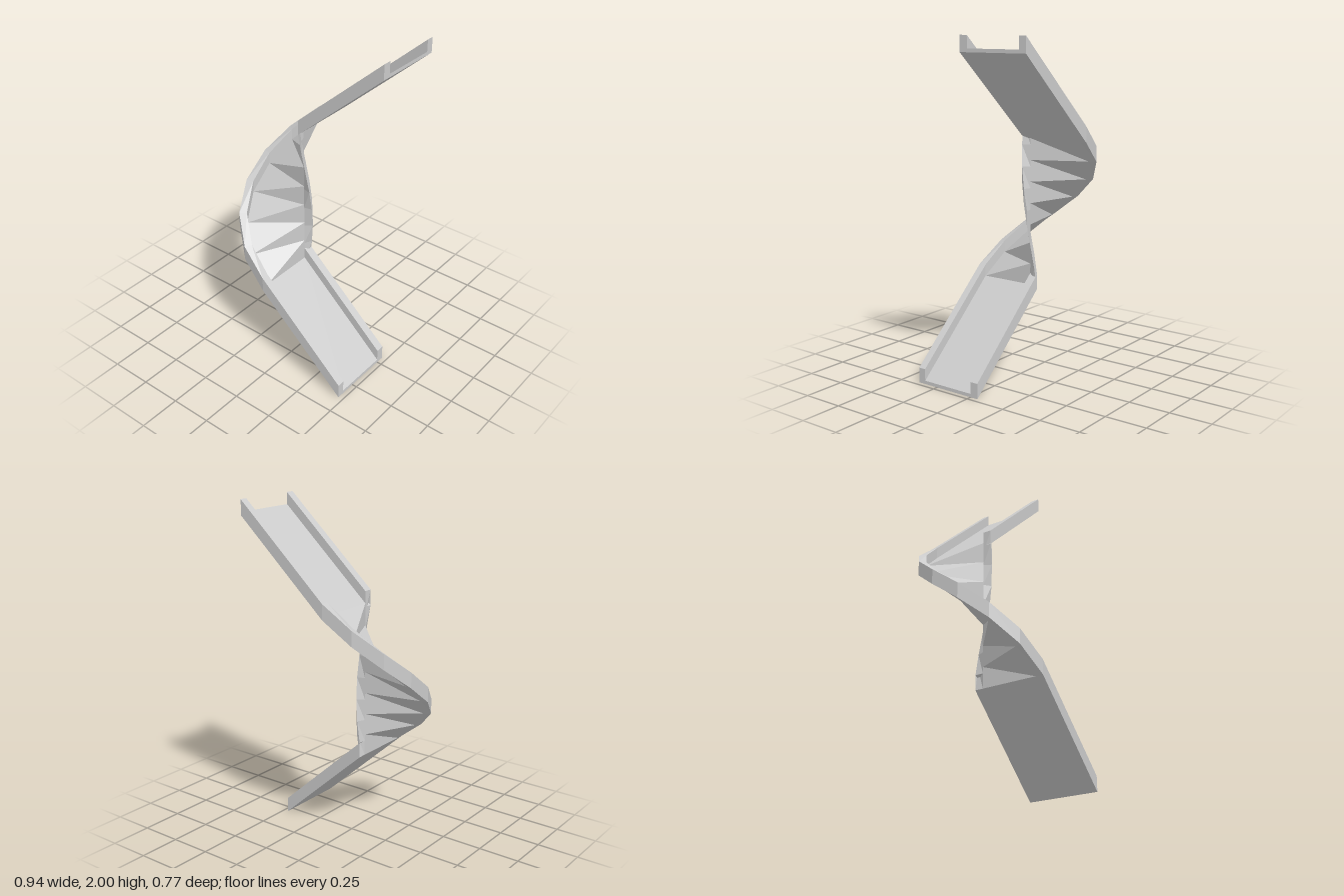
import * as THREE from 'three';

// U-shaped channel section: [distance from turn axis, height above underside]
const SECTION = [
  [-0.05, 0], [-0.05, 0.09], [0, 0.09], [0, 0.02], [0.34, 0.02],
  [0.34, 0.09], [0.385, 0.09], [0.385, 0], [0.34, 0], [0, 0],
];
const UNDERSIDE = 7; // section edges from here on lie underneath
const AXIS_X = -0.095, END_X = 0.47, STEPS = 7;
const TOP_Y = 1.91, TURN_TOP = 1.405, TURN_BOTTOM = 0.51;

// Place the section at a station: x of the axis line, base height, turn angle
const ring = ({ x, y, angle }) => SECTION.map(([r, h]) =>
  new THREE.Vector3(x - r * Math.sin(angle), y + h, -r * Math.cos(angle)));

// Join the sections in order, optionally closing one end
function sweep(name, stations, material, cap) {
  const rings = stations.map(ring);
  const points = [];
  for (let i = 0; i < rings.length - 1; i++) {
    for (let k = 0; k < SECTION.length; k++) {
      const n = (k + 1) % SECTION.length;
      const a = rings[i][k], b = rings[i][n], c = rings[i + 1][n], d = rings[i + 1][k];
      if (k >= UNDERSIDE) points.push(a, b, d, b, c, d);
      else points.push(a, b, c, a, c, d);
    }
  }
  if (cap) {
    const contour = SECTION.map(([r, h]) => new THREE.Vector2(r, h));
    const end = cap === 'start' ? rings[0] : rings[rings.length - 1];
    for (const [p, q, s] of THREE.ShapeUtils.triangulateShape(contour, [])) {
      points.push(end[p], end[q], end[s]);
    }
  }
  const geometry = new THREE.BufferGeometry().setFromPoints(points);
  geometry.computeVertexNormals();
  const mesh = new THREE.Mesh(geometry, material);
  mesh.name = name;
  return mesh;
}

export function createModel() {
  const model = new THREE.Group();
  model.name = 'turningSlide';
  const material = new THREE.MeshStandardMaterial({
    color: 0xcccccc, flatShading: true, side: THREE.DoubleSide,
  });

  // Helical half turn in equal steps
  const turn = [];
  for (let i = 0; i <= STEPS; i++) {
    const t = i / STEPS;
    turn.push({ x: AXIS_X, y: THREE.MathUtils.lerp(TURN_TOP, TURN_BOTTOM, t), angle: Math.PI * t });
  }
  // Straight runs above and below it
  const top = { x: END_X, y: TOP_Y, angle: 0 };
  const bottom = { x: END_X, y: 0, angle: Math.PI };

  model.add(
    sweep('upperChute', [top, turn[0]], material, 'start'),
    sweep('helicalTurn', turn, material),
    sweep('lowerChute', [turn[STEPS], bottom], material, 'end'),
  );
  return model;
}
